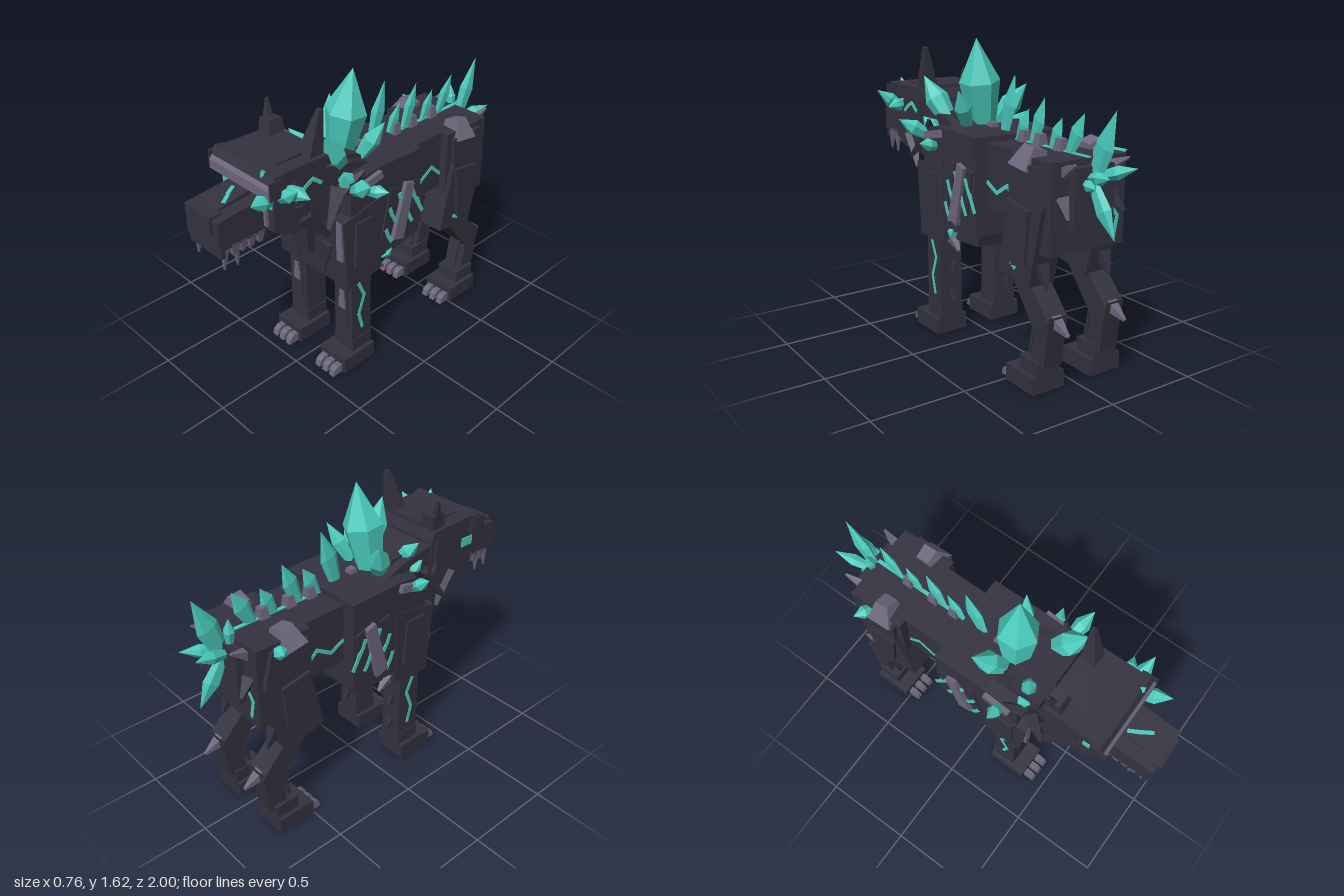
import * as THREE from 'three';

const mat = (name, color) => Object.assign(new THREE.MeshStandardMaterial({ color }), { name });

export function createModel() {
  const hide = mat('dark hide', 0x34323f);
  const shade = mat('deep hide', 0x2b2932);
  const bone = mat('grey bone', 0x6d667c);
  const teal = mat('teal crystal', 0x4bcbbd);

  const model = new THREE.Group();
  model.name = 'crystalBeast';
  const body = new THREE.Group();
  body.name = 'body';
  body.position.x = -0.016;
  const growths = new THREE.Group();
  growths.name = 'crystals';
  model.add(body, growths);

  const V = (a) => new THREE.Vector3(...a);
  const UP = new THREE.Vector3(0, 1, 0);
  const add = (name, geo, material, parent = body) => {
    const g = geo.index ? geo.toNonIndexed() : geo;
    g.computeVertexNormals();
    const m = new THREE.Mesh(g, material);
    m.name = name;
    parent.add(m);
    return m;
  };
  const box = (name, m, x0, x1, y0, y1, z0, z1) => add(name,
    new THREE.BoxGeometry(Math.abs(x1 - x0), y1 - y0, Math.abs(z1 - z0))
      .translate((x0 + x1) / 2, (y0 + y1) / 2, (z0 + z1) / 2), m);
  // Side outline of [z, y] points, extruded across x
  const prism = (name, m, pts, x0, x1) => {
    const shape = new THREE.Shape(pts.map((p) => new THREE.Vector2(...p)));
    return add(name, new THREE.ExtrudeGeometry(shape, { depth: Math.abs(x1 - x0), bevelEnabled: false })
      .rotateY(-Math.PI / 2).translate(Math.max(x0, x1), 0, 0), m);
  };
  const aim = (mesh, from, to) => {
    mesh.position.copy(V(from));
    mesh.quaternion.setFromUnitVectors(UP, V(to).sub(V(from)).normalize());
  };
  const span = (a, b) => V(a).distanceTo(V(b));
  const crystal = (from, to, r, flat = 1) => {
    const l = span(from, to);
    const profile = [[0, 0], [r * 0.6, 0], [r, l * 0.54], [0, l]].map((p) => new THREE.Vector2(...p));
    aim(add('crystal', new THREE.LatheGeometry(profile, 6).scale(flat, 1, 1), teal, growths), from, to);
  };
  const spike = (name, m, from, to, r, tip = 0.2) => {
    const l = span(from, to);
    aim(add(name, new THREE.CylinderGeometry(r * tip, r, l, 4, 1).rotateY(Math.PI / 4).translate(0, l / 2, 0), m), from, to);
  };
  // Glowing crack: thin strips joining points on a face with the given normal
  const crack = (pts, normal, w = 0.02) => {
    for (let i = 1; i < pts.length; i++) {
      const a = V(pts[i - 1]), b = V(pts[i]);
      const y = b.clone().sub(a).normalize(), z = V(normal);
      const m = add('crack', new THREE.BoxGeometry(w, a.distanceTo(b) + w * 0.5, 0.006), teal);
      m.quaternion.setFromRotationMatrix(new THREE.Matrix4().makeBasis(y.clone().cross(z), y, z));
      m.position.copy(a.add(b).multiplyScalar(0.5));
    }
  };

  // Trunk
  prism('ribcage', hide, [[-0.205, 0.65], [0.12, 0.62], [0.3, 0.9], [0.3, 1.15], [0.1, 1.17], [-0.205, 1.16]], -0.255, 0.255);
  prism('breast', hide, [[0.09, 0.56], [0.33, 0.54], [0.36, 0.95], [0.09, 1.0]], -0.262, 0.262);
  prism('belly', hide, [[-0.15, 0.575], [0.1, 0.56], [0.1, 0.66], [-0.17, 0.66]], -0.2, 0.2);
  box('waist', hide, -0.18, 0.18, 0.8, 1.13, -0.48, -0.2);
  box('hips', hide, -0.225, 0.225, 0.69, 1.13, -0.77, -0.45);
  box('rump', hide, -0.12, 0.12, 0.8, 1.1, -0.81, -0.76);
  for (const z of [0.01, -0.27, -0.4, -0.56]) {
    spike('vertebra', bone, [0, 1.12, z], [0, 1.19, z - 0.005], 0.042, 0.65);
  }
  box('spineSeam', teal, -0.01, 0.01, 1.128, 1.136, -0.77, -0.2);

  // Neck and head
  prism('neck', hide, [[0.1, 1.0], [0.35, 0.94], [0.5, 0.98], [0.5, 1.27], [0.2, 1.21], [0.08, 1.16]], -0.18, 0.18);
  prism('mane', hide, [[0.05, 1.15], [0.36, 1.15], [0.38, 1.25], [0.15, 1.22]], -0.13, 0.13);
  prism('skull', hide, [[0.4, 1.02], [0.6, 0.98], [0.72, 1.04], [0.72, 1.31], [0.4, 1.31]], -0.19, 0.19);
  prism('skullCap', hide, [[0.38, 1.28], [0.7, 1.28], [0.68, 1.345], [0.4, 1.335]], -0.208, 0.208);
  box('crownPlate', hide, -0.13, 0.13, 1.33, 1.352, 0.4, 0.65);
  prism('browRim', hide, [[0.68, 1.24], [0.75, 1.24], [0.75, 1.31], [0.73, 1.35], [0.68, 1.345]], -0.22, 0.22);
  prism('browBar', bone, [[0.745, 1.24], [0.766, 1.24], [0.766, 1.29], [0.745, 1.315]], -0.22, 0.22);
  prism('muzzle', hide, [[0.7, 1.03], [0.985, 1.03], [0.985, 1.185], [0.7, 1.21]], -0.125, 0.125);
  box('nose', hide, -0.085, 0.085, 1.11, 1.2, 0.93, 1.0);
  box('upperLip', hide, -0.12, 0.12, 0.985, 1.035, 0.955, 0.98);
  prism('noseBridge', hide, [[0.7, 1.2], [0.95, 1.185], [0.95, 1.2], [0.7, 1.235]], -0.055, 0.055);
  prism('lowerJaw', shade, [[0.5, 0.98], [0.72, 0.965], [0.76, 1.01], [0.55, 1.05]], -0.1, 0.1);
  crack([[-0.03, 1.224, 0.78], [0.0, 1.218, 0.83], [0.035, 1.208, 0.88]], [0, 1, 0]);

  // Ears: one whole, one broken
  spike('ear', hide, [0.135, 1.32, 0.45], [0.17, 1.56, 0.41], 0.065, 0.25);
  spike('brokenEar', hide, [-0.14, 1.32, 0.45], [-0.15, 1.42, 0.44], 0.068, 0.8);
  spike('earShard', hide, [-0.17, 1.38, 0.44], [-0.2, 1.5, 0.42], 0.032, 0.25);

  // Chest tuft
  spike('chestTuft', hide, [0, 1.0, 0.37], [0, 0.67, 0.36], 0.075, 0.35);

  for (const s of [-1, 1]) {
    const X = (x) => s * x;
    // Face
    box('eye', teal, X(0.1), X(0.18), 1.165, 1.21, 0.72, 0.728);
    box('browEnd', hide, X(0.219), X(0.227), 1.24, 1.335, 0.69, 0.766);
    box('cheekBar', bone, X(0.127), X(0.145), 1.06, 1.16, 0.71, 0.735);
    prism('cheekRuff', hide, [[0.6, 1.13], [0.44, 1.16], [0.36, 1.02], [0.5, 1.0]], X(0.18), X(0.21));
    box('temple', hide, X(0.18), X(0.209), 1.14, 1.29, 0.42, 0.6);
    spike('jawRuff', hide, [X(0.18), 1.06, 0.54], [X(0.225), 0.9, 0.42], 0.06);
    spike('neckRuff', hide, [X(0.19), 1.12, 0.33], [X(0.25), 0.96, 0.45], 0.055);
    spike('shoulderRuff', hide, [X(0.21), 1.1, 0.3], [X(0.265), 1.2, 0.22], 0.045);
    for (const z of [0.75, 0.8, 0.85, 0.9]) spike('tooth', bone, [X(0.105), 1.04, z], [X(0.105), 0.975, z], 0.03, 0.5);
    spike('fang', bone, [X(0.1), 1.04, 0.945], [X(0.1), 0.91, 0.955], 0.026);
    spike('lowerFang', bone, [X(0.1), 1.04, 0.885], [X(0.1), 0.9, 0.88], 0.024);
    spike('sideTuft', hide, [X(0.1), 0.98, 0.36], [X(0.09), 0.86, 0.37], 0.05);
    spike('lowTuft', hide, [X(0.13), 0.78, 0.335], [X(0.09), 0.58, 0.34], 0.045);

    // Shoulder and flank plates
    prism('shoulderPlate', hide, [[0.14, 0.66], [0.29, 0.66], [0.28, 0.92], [0.16, 0.92]], X(0.25), X(0.275));
    box('breastStrip', bone, X(0.21), X(0.25), 0.72, 0.95, 0.34, 0.362);
    prism('shoulderCap', bone, [[0.1, 1.12], [0.25, 1.09], [0.26, 1.13], [0.11, 1.16]], X(0.235), X(0.28));
    prism('rib', bone, [[0.016, 0.706], [-0.06, 0.68], [-0.134, 0.995], [-0.075, 1.016]], X(0.25), X(0.28));
    prism('sideRib', hide, [[0.09, 0.74], [0.03, 0.73], [-0.03, 1.0], [0.03, 1.02]], X(0.25), X(0.265));
    prism('sideRib', hide, [[-0.08, 0.73], [-0.14, 0.74], [-0.19, 0.98], [-0.14, 1.0]], X(0.25), X(0.265));
    for (const [z, y] of [[0.02, 0.86], [0.045, 0.74], [-0.05, 0.92], [-0.11, 0.8], [-0.15, 0.9], [-0.19, 0.83]]) {
      crack([[X(0.266), y + 0.04, z + 0.015], [X(0.266), y, z], [X(0.266), y - 0.045, z - 0.025]], [s, 0, 0], 0.022);
    }
    crack([[X(0.181), 0.93, -0.21], [X(0.181), 0.89, -0.29], [X(0.181), 0.945, -0.38], [X(0.181), 0.88, -0.45]], [s, 0, 0]);

    // Front leg
    box('frontLeg', hide, X(0.115), X(0.245), 0.14, 0.56, 0.15, 0.29);
    box('shinPlate', hide, X(0.14), X(0.215), 0.24, 0.52, 0.28, 0.297);
    box('shinBone', bone, X(0.157), X(0.203), 0.36, 0.42, 0.297, 0.304);
    box('shinBoneTip', bone, X(0.164), X(0.196), 0.42, 0.475, 0.297, 0.304);
    spike('elbowSpike', bone, [X(0.2), 0.58, 0.11], [X(0.21), 0.51, 0.02], 0.045);
    for (const y of [0.4, 0.24]) spike('legSpur', hide, [X(0.18), y, 0.16], [X(0.18), y - 0.06, 0.125], 0.03);
    crack([[X(0.245), 0.52, 0.24], [X(0.245), 0.43, 0.2], [X(0.245), 0.32, 0.24], [X(0.245), 0.22, 0.215]], [s, 0, 0]);

    // Hind leg
    prism('thigh', hide, [[-0.48, 1.1], [-0.7, 1.1], [-0.745, 0.92], [-0.65, 0.51], [-0.4, 0.55], [-0.49, 0.95]], X(0.1), X(0.25));
    prism('thighPlate', hide, [[-0.49, 0.92], [-0.66, 0.89], [-0.63, 0.62], [-0.53, 0.6]], X(0.25), X(0.268));
    spike('hipCap', bone, [X(0.2), 1.06, -0.565], [X(0.165), 1.17, -0.58], 0.1, 0.55);
    prism('shin', hide, [[-0.47, 0.56], [-0.65, 0.52], [-0.785, 0.38], [-0.69, 0.29]], X(0.115), X(0.235));
    prism('hock', hide, [[-0.68, 0.34], [-0.785, 0.4], [-0.745, 0.13], [-0.635, 0.13]], X(0.12), X(0.23));
    prism('hockPlate', hide, [[-0.6, 0.16], [-0.615, 0.16], [-0.65, 0.34], [-0.635, 0.34]], X(0.14), X(0.21));
    spike('hockSpike', bone, [X(0.175), 0.38, -0.74], [X(0.175), 0.325, -0.86], 0.045);
    spike('thighSpur', hide, [X(0.19), 0.62, -0.66], [X(0.19), 0.52, -0.72], 0.045);
    spike('rumpSpur', hide, [X(0.15), 0.95, -0.76], [X(0.17), 0.87, -0.83], 0.045);
    spike('rumpSpur', bone, [X(0.14), 1.08, -0.76], [X(0.16), 1.13, -0.86], 0.035);
    spike('flankSpur', hide, [X(0.1), 0.83, -0.27], [X(0.1), 0.74, -0.33], 0.04);

    // Feet and claws
    for (const [z, front] of [[0.15, 0.375], [-0.725, -0.505]]) {
      box('ankle', hide, X(0.11), X(0.25), 0.08, 0.16, z, z + 0.14);
      box('foot', hide, X(0.085), X(0.275), 0, 0.088, z, front);
      for (const x of [0.125, 0.18, 0.235]) {
        prism('claw', bone, [[front - 0.02, 0], [front + 0.065, 0], [front + 0.055, 0.035], [front + 0.03, 0.052], [front - 0.02, 0.052]], X(x - 0.018), X(x + 0.018));
      }
    }
  }

  // Marks found on one side only: breast, temple, cheek, rump and thigh
  crack([[-0.045, 0.82, 0.354], [-0.04, 0.775, 0.351], [-0.065, 0.72, 0.348]], [0, 0, 1]);
  crack([[0.21, 1.2, 0.58], [0.21, 1.23, 0.54], [0.21, 1.25, 0.5], [0.21, 1.21, 0.45]], [1, 0, 0]);
  box('cheekGlow', teal, -0.196, -0.188, 1.165, 1.215, 0.635, 0.715);
  crack([[-0.14, 0.88, -0.771], [-0.18, 0.83, -0.771], [-0.16, 0.73, -0.771]], [0, 0, -1]);
  crack([[0.251, 0.605, -0.51], [0.251, 0.585, -0.54]], [1, 0, 0]);

  // Great crystal and the thin row along the spine
  crystal([-0.035, 1.13, 0.125], [0.035, 1.625, 0.085], 0.11);
  const row = [[-0.09, -0.19, 1.46, 0.054], [-0.22, -0.31, 1.3, 0.042], [-0.34, -0.435, 1.37, 0.046],
    [-0.49, -0.57, 1.29, 0.04], [-0.62, -0.73, 1.33, 0.046]];
  for (const [z0, z1, y, r] of row) crystal([-0.016, 1.12, z0], [-0.016, y, z1], r, 0.38);

  // Neck, shoulder, face, hip and tail clusters
  const clusters = [
    [[-0.1, 1.15, 0.12], [-0.23, 1.38, 0.0], 0.06], [[0.08, 1.15, 0.1], [0.19, 1.37, 0.02], 0.045],
    [[0.1, 1.15, 0.23], [0.17, 1.41, 0.4], 0.066], [[-0.1, 1.18, 0.25], [-0.2, 1.3, 0.31], 0.04],
    [[0.17, 1.1, 0.24], [0.22, 1.2, 0.33], 0.045], [[-0.17, 1.1, 0.24], [-0.21, 1.2, 0.33], 0.04],
    [[0.22, 1.1, 0.27], [0.38, 1.2, 0.31], 0.045], [[0.22, 1.06, 0.18], [0.35, 1.09, 0.15], 0.035],
    [[-0.26, 1.1, 0.2], [-0.385, 1.195, 0.2], 0.035], [[-0.22, 1.08, -0.64], [-0.335, 1.12, -0.68], 0.035],
    [[0.14, 1.2, 0.7], [0.2, 1.26, 0.87], 0.04], [[0.16, 1.2, 0.67], [0.31, 1.31, 0.69], 0.038],
    [[0.16, 1.24, 0.63], [0.29, 1.22, 0.6], 0.035], [[0.11, 1.27, 0.7], [0.13, 1.37, 0.74], 0.025],
    [[0.21, 0.6, 0.06], [0.24, 0.64, 0.0], 0.03],
    [[-0.016, 1.0, -0.79], [-0.016, 1.37, -0.94], 0.06, 0.45], [[-0.016, 1.03, -0.79], [-0.016, 0.775, -0.955], 0.055, 0.5],
    [[-0.04, 1.04, -0.79], [-0.1, 1.11, -1.0], 0.034], [[0.0, 1.04, -0.79], [0.06, 1.08, -0.99], 0.034],
    [[-0.05, 1.08, -0.78], [-0.07, 1.24, -0.79], 0.03], [[0.02, 1.02, -0.78], [0.07, 1.02, -0.91], 0.03],
  ];
  for (const c of clusters) crystal(...c);

  return model;
}
